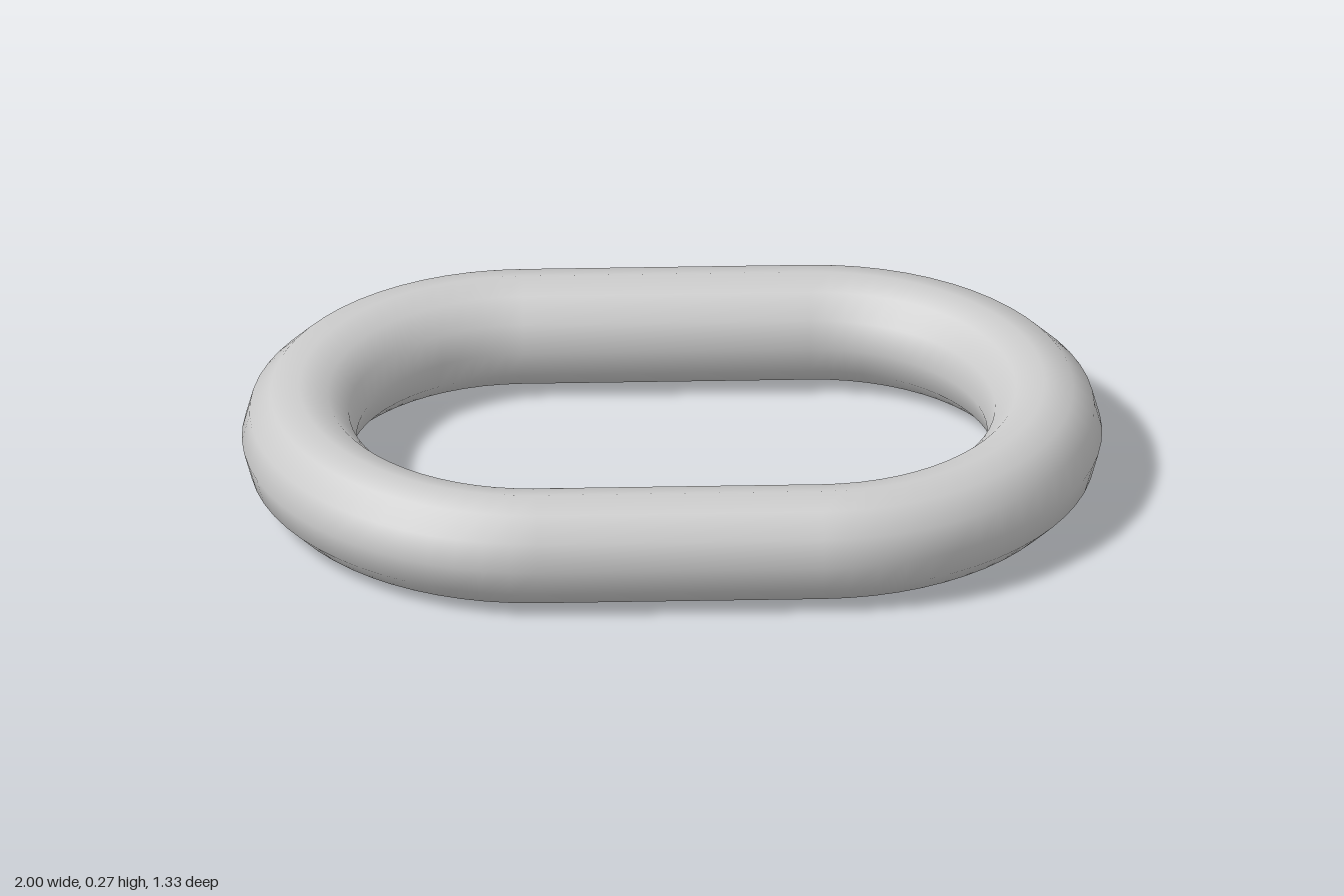
import * as THREE from 'three';
import { mergeGeometries } from 'three/addons/utils/BufferGeometryUtils.js';

const BAR = 0.1333;       // radius of the round bar
const BEND = 0.5333;      // centre-line radius of the end bends
const HALF = 0.3333;      // half length of the straight sides
const SIDES = 12;         // facets around the bar
const BEND_STEPS = 32;    // steps around each bend

export function createModel() {
  const group = new THREE.Group();
  group.name = 'chainLink';
  const pieces = [];

  for (const side of [1, -1]) {
    // Half-ring bend at each end, opening towards the middle
    pieces.push(new THREE.TorusGeometry(BEND, BAR, SIDES, BEND_STEPS, Math.PI)
      .rotateZ(-side * Math.PI / 2)
      .rotateX(Math.PI / 2)
      .translate(side * HALF, BAR, 0));

    // Straight bar along the front and back, open where it meets the bends
    pieces.push(new THREE.CylinderGeometry(BAR, BAR, 2 * HALF, SIDES, 1, true)
      .rotateZ(Math.PI / 2)
      .translate(0, BAR, side * BEND));
  }

  // Joined into one continuous smooth loop
  const link = new THREE.Mesh(
    mergeGeometries(pieces),
    new THREE.MeshStandardMaterial({ color: 0xcccccc })
  );
  link.name = 'link';
  group.add(link);
  return group;
}
